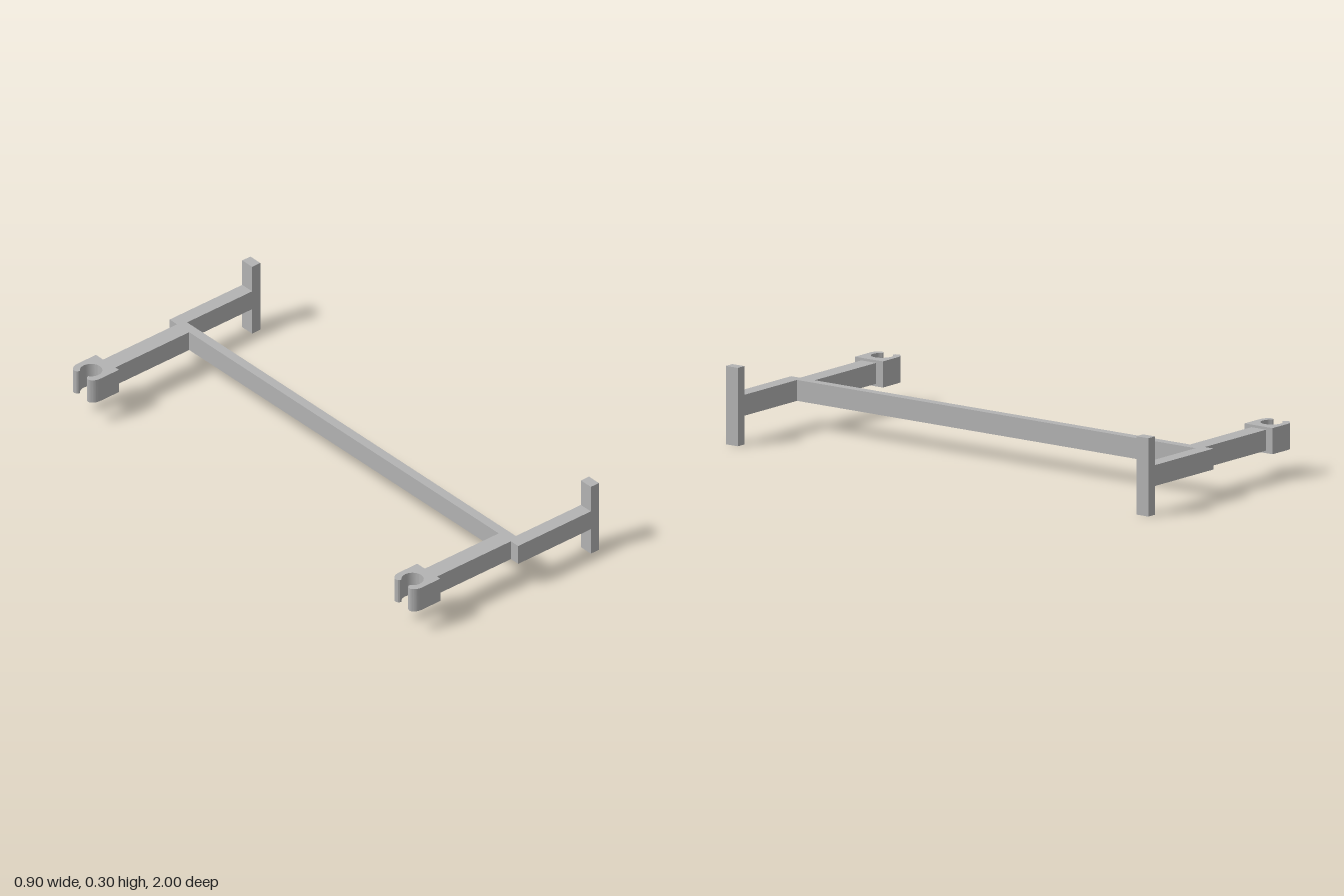
import * as THREE from 'three';
import { toCreasedNormals } from 'three/addons/utils/BufferGeometryUtils.js';

export function createModel() {
  const model = new THREE.Group();
  model.name = 'clipFrame';
  const grey = new THREE.MeshStandardMaterial({ color: 0xb3b3b3 });
  grey.name = 'grey';

  // Box given by its limits on each axis
  function bar(name, x0, x1, y0, y1, z0, z1) {
    const mesh = new THREE.Mesh(new THREE.BoxGeometry(x1 - x0, y1 - y0, z1 - z0), grey);
    mesh.position.set((x0 + x1) / 2, (y0 + y1) / 2, (z0 + z1) / 2);
    mesh.name = name;
    model.add(mesh);
  }

  // Open C-shaped clip outline, jaws facing -x
  const holeX = -0.4, r = 0.042, gap = 0.024, half = 0.066;
  const a = Math.asin(gap / r);
  const mouthX = holeX - r * Math.cos(a);
  const outline = new THREE.Shape();
  outline.moveTo(-0.32, -half);
  outline.lineTo(-0.41, -half);
  outline.quadraticCurveTo(-0.438, -half, -0.45, -0.044);
  outline.quadraticCurveTo(-0.45, -gap, mouthX, -gap);
  outline.absarc(holeX, 0, r, Math.PI + a, 3 * Math.PI - a, false);
  outline.quadraticCurveTo(-0.45, gap, -0.45, 0.044);
  outline.quadraticCurveTo(-0.438, half, -0.41, half);
  outline.lineTo(-0.32, half);
  outline.closePath();
  const clipGeometry = toCreasedNormals(
    new THREE.ExtrudeGeometry(outline, { depth: 0.1, bevelEnabled: false, curveSegments: 16 })
      .rotateX(-Math.PI / 2), 0.6);

  // Long crossbar between the two sides
  bar('crossbar', 0.053, 0.09, 0.11, 0.19, -0.943, 0.943);

  for (const side of [1, -1]) {
    const end = side > 0 ? 'front' : 'back';
    const span = (p, q) => side > 0 ? [p, q] : [-q, -p];
    bar(end + 'OuterArm', 0.053, 0.41, 0.11, 0.19, ...span(0.943, 1));
    bar(end + 'Post', 0.41, 0.45, 0, 0.3, ...span(0.943, 1));
    bar(end + 'ClipArm', -0.32, 0.053, 0.11, 0.19, ...span(0.888, 0.958));
    const clip = new THREE.Mesh(clipGeometry, grey);
    clip.name = end + 'Clip';
    clip.position.set(0, 0.1, side * 0.922);
    model.add(clip);
  }
  return model;
}
